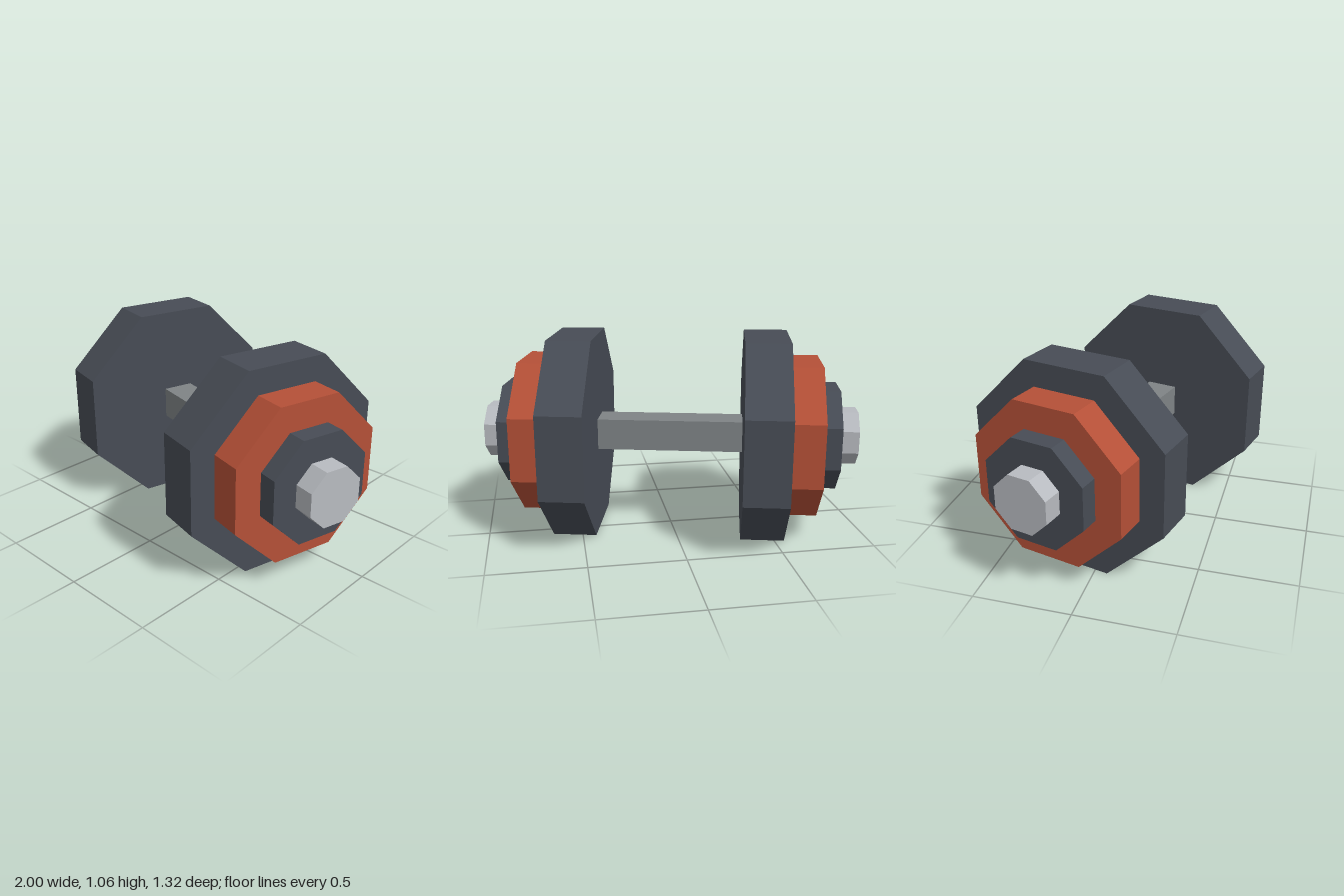
import * as THREE from 'three';

const mat = (name, color) => {
  const m = new THREE.MeshStandardMaterial({ color, flatShading: true });
  m.name = name;
  return m;
};

export function createModel() {
  const darkIron = mat('darkIron', 0x474c55);
  const rustRed = mat('rustRed', 0xb55037);
  const handleGrey = mat('handleGrey', 0x7f8486);
  const paleSteel = mat('paleSteel', 0xb8bbc0);

  const model = new THREE.Group();
  model.name = 'dumbbell';

  // Prism along x from x0 to x1, standing on a flat side; apothem = centre to flat
  const prism = (name, sides, apothem, x0, x1, material) => {
    const radius = apothem / Math.cos(Math.PI / sides);
    const geo = new THREE.CylinderGeometry(radius, radius, x1 - x0, sides, 1, false, Math.PI / sides);
    geo.rotateZ(-Math.PI / 2);
    const mesh = new THREE.Mesh(geo, material);
    mesh.name = name;
    mesh.position.x = (x0 + x1) / 2;
    return mesh;
  };

  // Square grip bar
  model.add(prism('handle', 4, 0.083, -0.4, 0.4, handleGrey));

  // Stepped octagonal weights, the same at both ends
  for (const [side, turn] of [['left', 0], ['right', Math.PI]]) {
    const end = new THREE.Group();
    end.name = side + 'Weights';
    end.add(
      prism('largePlate', 8, 0.53, 0.388, 0.621, darkIron),
      prism('mediumPlate', 8, 0.402, 0.621, 0.79, rustRed),
      prism('smallPlate', 8, 0.266, 0.79, 0.889, darkIron),
      prism('endCap', 8, 0.141, 0.889, 0.994, paleSteel)
    );
    end.rotation.y = turn;
    model.add(end);
  }

  // Rests on the floor, turned slightly about the vertical
  model.rotation.y = -THREE.MathUtils.degToRad(13.75);
  model.position.y = 0.53;

  const root = new THREE.Group();
  root.add(model);
  return root;
}
